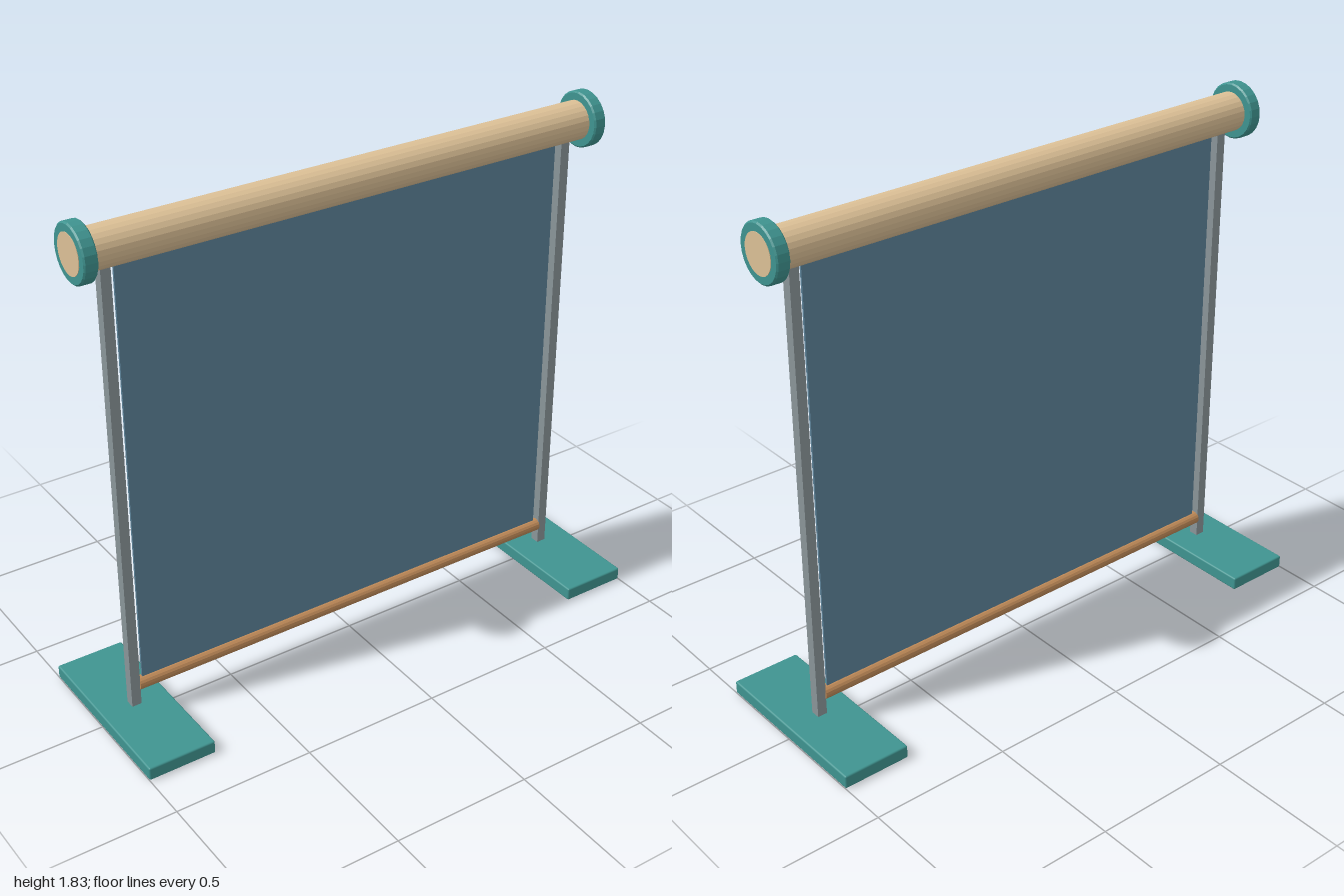
import * as THREE from 'three';
import { RoundedBoxGeometry } from 'three/addons/geometries/RoundedBoxGeometry.js';

const paint = (color, flatShading = false) => new THREE.MeshStandardMaterial({ color, flatShading });

export function createModel() {
  const group = new THREE.Group();
  const teal = paint(0x3f9490);
  const tealFlat = paint(0x3f9490, true);
  const paleWood = paint(0xdcc096, true);
  const darkWood = paint(0xbf8a58, true);
  const metal = paint(0x8a9599);
  const cloth = paint(0x5c8299);

  const add = (name, geometry, material, x, y) => {
    const mesh = new THREE.Mesh(geometry, material);
    mesh.name = name;
    mesh.position.set(x, y, 0);
    group.add(mesh);
    return mesh;
  };
  // Round bar lying along x
  const bar = (radius, length, sides) =>
    new THREE.CylinderGeometry(radius, radius, length, sides).rotateZ(Math.PI / 2);

  // Roller, hanging sheet and the rod weighting its lower edge
  const rollerY = 1.735;
  add('roller', bar(0.068, 1.966, 24), paleWood, 0, rollerY);
  add('sheet', new THREE.BoxGeometry(1.685, 1.58, 0.008), cloth, 0, 0.91);
  add('bottomRod', bar(0.024, 1.72, 16), darkWood, 0, 0.122);

  // End collar profile with slightly bevelled rims, closed into a ring
  const r = 0.098, h = 0.024, b = 0.005;
  const collar = new THREE.LatheGeometry([
    [0.06, -h], [r - b, -h], [r, b - h], [r, h - b], [r - b, h], [0.06, h],
  ].map(([px, py]) => new THREE.Vector2(px, py)), 24).rotateZ(Math.PI / 2);

  // Mirrored foot, post and collar on each side
  for (const [side, s] of [['left', 1], ['right', -1]]) {
    add(side + 'Foot', new RoundedBoxGeometry(0.246, 0.048, 0.652, 2, 0.006), teal, s * 0.877, 0.024);
    add(side + 'Post', new THREE.BoxGeometry(0.035, 1.67, 0.035), metal, s * 0.876, 0.875);
    add(side + 'Collar', collar, tealFlat, s * 0.957, rollerY);
  }
  return group;
}
